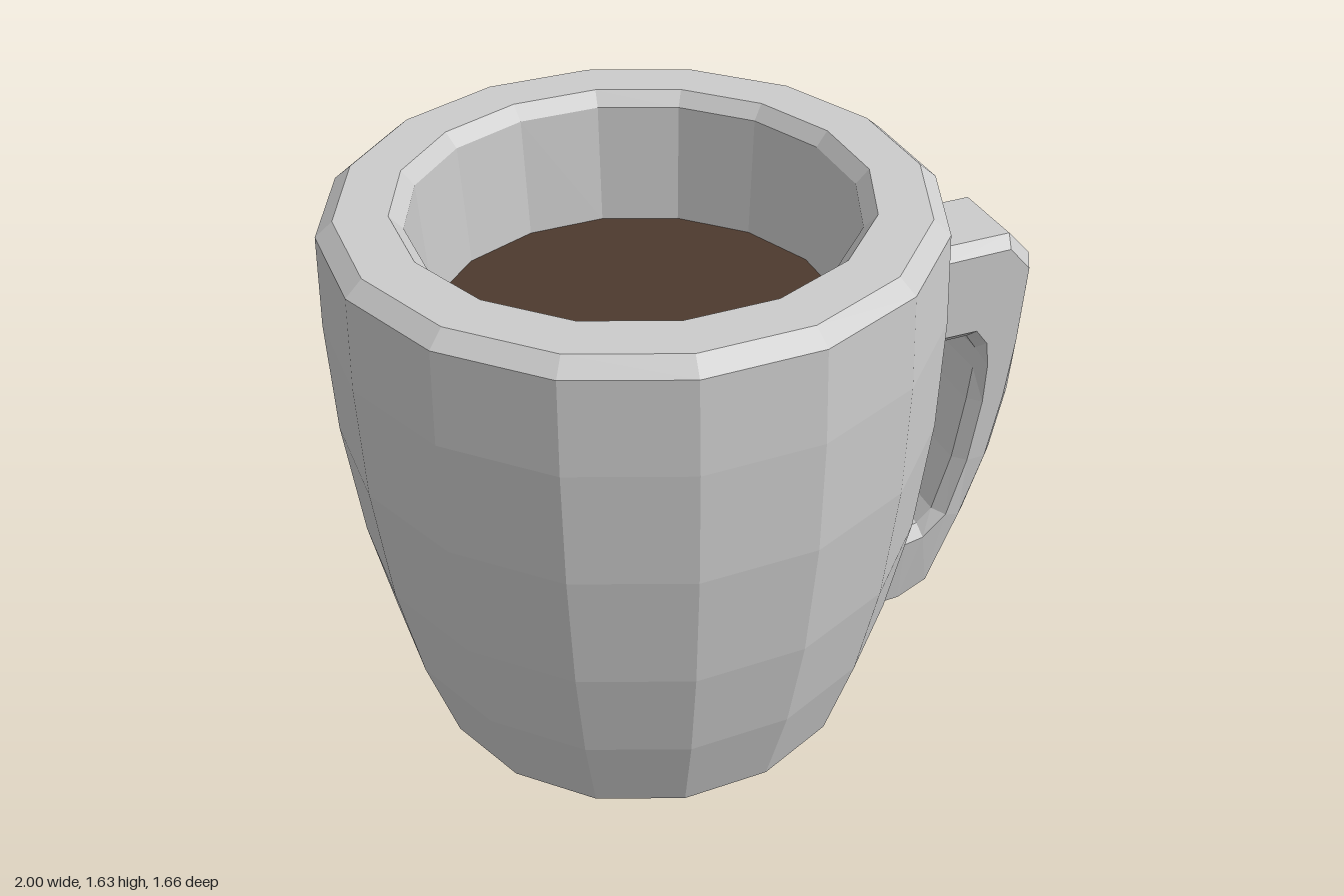
import * as THREE from 'three';

const SIDES = 16;

// Chamfered-rectangle section between an inner and an outer edge point
function section([ix, iy, ox, oy, wi, wo], c = 0.035) {
  const len = Math.hypot(ox - ix, oy - iy);
  const ux = ((ox - ix) / len) * c, uy = ((oy - iy) / len) * c;
  const half = [
    [ix, iy, wi - c], [ix + ux, iy + uy, wi],
    [ox - ux, oy - uy, wo], [ox, oy, wo - c],
  ];
  const mirrored = half.map(([x, y, z]) => [x, y, -z]).reverse();
  return [...half, ...mirrored];
}

// Skin a chain of sections with quads
function loft(stations) {
  const rings = stations.map((s) => section(s));
  const n = rings[0].length, index = [];
  for (let i = 0; i < rings.length - 1; i++) {
    for (let k = 0; k < n; k++) {
      const a = i * n + k, b = i * n + (k + 1) % n;
      index.push(a, a + n, b + n, a, b + n, b);
    }
  }
  const geometry = new THREE.BufferGeometry();
  geometry.setAttribute('position', new THREE.Float32BufferAttribute(rings.flat(2), 3));
  geometry.setIndex(index);
  geometry.computeVertexNormals();
  return geometry;
}

export function createModel() {
  const model = new THREE.Group();
  model.name = 'mug';
  const ceramic = new THREE.MeshStandardMaterial({ color: 0xcccccc, flatShading: true });
  const brown = new THREE.MeshStandardMaterial({ color: 0x4d3a2e, flatShading: true });

  // Everything turns about the cup's axis, which sits off centre to leave room for the handle
  const cup = new THREE.Group();
  cup.name = 'cup';
  cup.position.x = -0.17;
  model.add(cup);

  // Cup wall: underside, bulging outside, bevelled rim, inside and inner floor
  const profile = [
    [0, 0], [0.585, 0], [0.645, 0.045], [0.73, 0.33], [0.79, 0.64], [0.825, 1.0],
    [0.83, 1.33], [0.817, 1.59], [0.77, 1.63],
    [0.63, 1.63], [0.595, 1.59], [0.575, 1.24], [0.52, 0.6], [0.42, 0.15], [0, 0.15],
  ].map(([r, y]) => new THREE.Vector2(r, y));
  const body = new THREE.Mesh(new THREE.LatheGeometry(profile, SIDES), ceramic);
  body.name = 'cupBody';
  cup.add(body);

  // Drink surface
  const drink = new THREE.Mesh(new THREE.CircleGeometry(0.577, SIDES), brown);
  drink.name = 'drink';
  drink.rotation.x = -Math.PI / 2;
  drink.position.y = 1.24;
  cup.add(drink);

  // Handle, from flared top root to bottom root:
  // inner radius, inner y, outer radius, outer y, inner half width, outer half width
  const handle = new THREE.Mesh(loft([
    [0.75, 0.96, 0.75, 1.375, 0.19, 0.19],
    [0.81, 0.97, 0.81, 1.365, 0.18, 0.18],
    [0.87, 1.01, 0.87, 1.33, 0.15, 0.15],
    [0.985, 1.01, 1.09, 1.33, 0.15, 0.15],
    [1.02, 0.96, 1.165, 1.25, 0.15, 0.15],
    [1.02, 0.89, 1.165, 1.0, 0.15, 0.15],
    [1.01, 0.78, 1.15, 0.78, 0.15, 0.15],
    [0.98, 0.57, 1.11, 0.57, 0.15, 0.15],
    [0.93, 0.38, 1.045, 0.34, 0.145, 0.14],
    [0.885, 0.33, 0.935, 0.06, 0.14, 0.12],
    [0.83, 0.32, 0.84, 0.005, 0.14, 0.11],
    [0.765, 0.32, 0.7, 0.002, 0.14, 0.11],
    [0.71, 0.36, 0.6, 0.002, 0.17, 0.115],
    [0.66, 0.365, 0.5, 0.002, 0.17, 0.11],
  ]), ceramic);
  handle.name = 'handle';
  handle.rotation.y = -Math.PI / SIDES; // centred on one flat of the cup
  cup.add(handle);

  return model;
}
